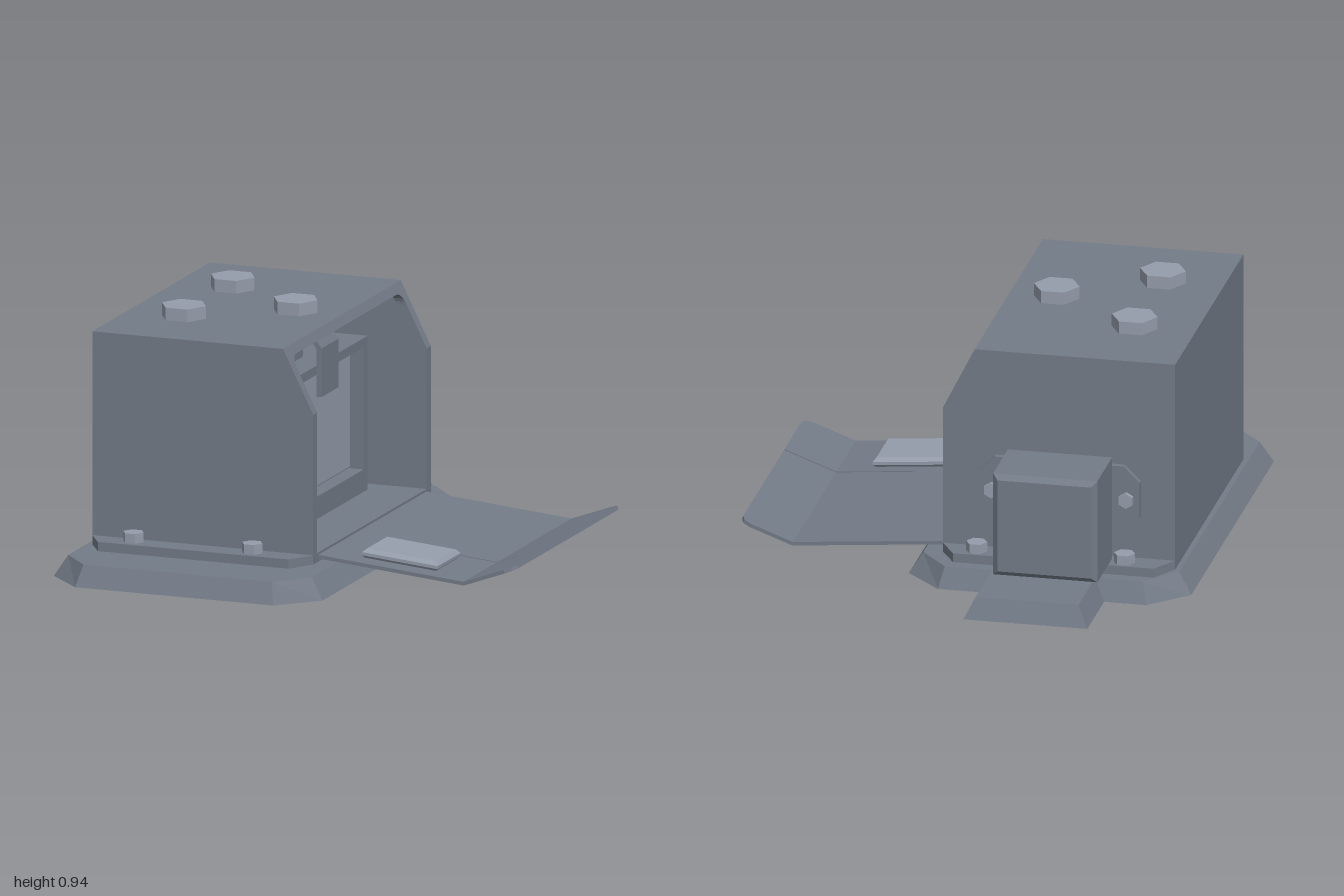
import * as THREE from 'three';

const main = new THREE.MeshStandardMaterial({ color: 0x737b87, flatShading: true });
const light = new THREE.MeshStandardMaterial({ color: 0x959dab, flatShading: true });

export function createModel() {
  const model = new THREE.Group();

  const add = (name, geo, mat = main, parent = model) => {
    const mesh = new THREE.Mesh(geo, mat);
    mesh.name = name;
    parent.add(mesh);
    return mesh;
  };
  const box = (name, x0, x1, y0, y1, z0, z1, mat) =>
    add(name, new THREE.BoxGeometry(x1 - x0, y1 - y0, z1 - z0), mat)
      .position.set((x0 + x1) / 2, (y0 + y1) / 2, (z0 + z1) / 2);
  const poly = (pts) => new THREE.Shape(pts.map(([a, b]) => new THREE.Vector2(a, b)));
  const rect = (a0, a1, b0, b1) => [[a0, b0], [a1, b0], [a1, b1], [a0, b1]];
  const extrude = (shape, depth, opts = {}) =>
    new THREE.ExtrudeGeometry(shape, { depth, bevelEnabled: false, curveSegments: 6, ...opts });
  // plan outline [x, z] raised from y0 by height
  const plan = (pts, y0, height) =>
    extrude(poly(pts.map(([x, z]) => [x, -z])), height).rotateX(-Math.PI / 2).translate(0, y0, 0);
  // side profile [x, y] swept from z0 to z1
  const profile = (pts, z0, z1) => extrude(poly(pts), z1 - z0).translate(0, 0, z0);
  // front-facing outline (z, y) pushed back from x
  const facing = (shape, x, depth) => extrude(shape, depth).rotateY(-Math.PI / 2).translate(x, 0, 0);
  const hexBolt = (name, x, y, z, r, h) =>
    add(name, new THREE.CylinderGeometry(r, r, h, 6).rotateY(Math.PI / 6), light).position.set(x, y + h / 2, z);

  // Base plate: [x, z] on the ground and the matching inset [x, z] on top
  const outline = [
    [-0.87, -0.57, -0.82, -0.55], [-0.73, -0.71, -0.71, -0.68],
    [-0.57, -0.71, -0.53, -0.68], [-0.57, -1.0, -0.53, -0.97],
    [-0.10, -1.0, -0.14, -0.97], [-0.10, -0.71, -0.14, -0.68],
    [0.06, -0.71, 0.04, -0.68], [0.20, -0.57, 0.15, -0.55],
    [0.20, 0.86, 0.15, 0.84], [0.06, 1.0, 0.04, 0.965],
    [-0.73, 1.0, -0.71, 0.965], [-0.87, 0.86, -0.82, 0.84],
  ];
  const base = plan(outline, 0, 0.08);
  const bp = base.attributes.position;
  for (let i = 0; i < bp.count; i++) {
    if (bp.getY(i) < 0.04) continue;
    const o = outline.find(([x, z]) => Math.hypot(x - bp.getX(i), z - bp.getZ(i)) < 1e-3);
    bp.setXYZ(i, o[2], 0.08, o[3]);
  }
  base.computeVertexNormals();
  add('basePlate', base);

  // Mounting flange under the housing, also its floor
  add('mountingFlange', plan([
    [-0.8, -0.53], [-0.74, -0.63], [0.02, -0.63], [0.08, -0.53],
    [0.08, 0.65], [0.02, 0.745], [-0.74, 0.745], [-0.8, 0.65],
  ], 0.08, 0.035));
  for (const [x, z] of [[-0.62, 0.69], [-0.147, 0.69], [-0.62, -0.585], [-0.06, -0.585]])
    hexBolt('flangeBolt', x, 0.115, z, 0.04, 0.037);

  // Housing shell, open at its sloped +x face
  const side = [[-0.8, 0.115], [0.08, 0.115], [0.08, 0.65], [-0.04, 0.89], [-0.8, 0.89]];
  add('frontWall', profile(side, 0.61, 0.65));
  add('rearWall', profile(side, -0.53, -0.488));
  add('roof', profile([[-0.8, 0.855], [-0.0225, 0.855], [-0.04, 0.89], [-0.8, 0.89]], -0.488, 0.61));
  box('backWall', -0.8, -0.76, 0.115, 0.855, -0.488, 0.61);

  // Rounded upper corners of the opening, sheared to follow the slope
  for (const [zc, s] of [[0.61, -1], [-0.488, 1]]) {
    const corner = new THREE.Shape();
    corner.moveTo(zc, 0.855);
    corner.lineTo(zc + s * 0.05, 0.855);
    corner.quadraticCurveTo(zc, 0.855, zc, 0.805);
    const geo = facing(corner, -0.0225, 0.04);
    const p = geo.attributes.position;
    for (let i = 0; i < p.count; i++) p.setX(i, p.getX(i) + (0.855 - p.getY(i)) * 0.5);
    geo.computeVertexNormals();
    add('openingCorner', geo);
  }

  // Roof bolts
  for (const [x, z] of [[-0.57, -0.18], [-0.22, 0.07], [-0.57, 0.31]])
    hexBolt('roofBolt', x, 0.89, z, 0.087, 0.048);

  // Inner unit with a framed, recessed screen
  const frame = poly(rect(-0.40, 0.595, 0.115, 0.70));
  frame.holes.push(poly(rect(-0.36, 0.56, 0.20, 0.665)));
  add('screenFrame', facing(frame, -0.12, 0.06));
  box('innerUnit', -0.76, -0.18, 0.115, 0.70, -0.40, 0.595);
  box('screen', -0.18, -0.17, 0.21, 0.655, -0.35, 0.55, light);

  // Bent latch hooked over the inner unit
  add('latch', profile([
    [-0.08, 0.595], [-0.08, 0.78], [-0.11, 0.825], [-0.24, 0.825], [-0.24, 0.70],
    [-0.22, 0.70], [-0.22, 0.805], [-0.12, 0.805], [-0.10, 0.775], [-0.10, 0.595],
  ], -0.005, 0.165));

  // Folded-down door: a flat panel and an upturned lip, split by a slit
  const door = new THREE.Group();
  door.name = 'door';
  model.add(door);
  const section = (name, x, y, x2, y2) => {
    const g = new THREE.Group();
    g.name = name;
    g.position.set(x, y, 0);
    g.rotation.z = Math.atan2(y2 - y, x2 - x);
    door.add(g);
    return [g, Math.hypot(x2 - x, y2 - y)];
  };
  const [panel, pl] = section('doorPanel', 0.08, 0.092, 0.66, 0.04);
  add('doorSheet', plan([
    [-0.02, -0.485], [pl, -0.485], [pl, 0.26], [0.28, 0.26], [0.28, 0.268], [pl, 0.268], [pl, 0.6], [-0.02, 0.6],
  ], 0, 0.014), main, panel);
  const [lip, ll] = section('doorLip', 0.66, 0.04, 0.86, 0.114);
  add('lipLarge', plan([
    [0, -0.485], [ll - 0.04, -0.485], [ll - 0.012, -0.473], [ll, -0.445], [ll, 0.26], [0, 0.26],
  ], 0, 0.014), main, lip);
  add('lipSmall', plan([
    [0, 0.268], [ll, 0.268], [ll, 0.56], [ll - 0.012, 0.588], [ll - 0.04, 0.6], [0, 0.6],
  ], 0, 0.014), main, lip);

  // Bevelled pad lying on the door
  const bevel = (b) => ({ bevelEnabled: true, bevelSegments: 1, bevelSize: b, bevelThickness: b });
  add('doorPad', extrude(poly(rect(0.16, 0.435, -0.52, -0.32)), 0.012, bevel(0.014))
    .rotateX(-Math.PI / 2).translate(0, 0.024, 0), light, panel);

  // Side box on an octagonal bracket at the rear wall
  add('sideBox', extrude(poly(rect(-0.55, -0.195, 0.14, 0.50)), 0.255, bevel(0.02)).translate(0, 0, -0.825));
  add('boxBracket', profile([
    [-0.67, 0.28], [-0.61, 0.22], [-0.12, 0.22], [-0.06, 0.28],
    [-0.06, 0.42], [-0.12, 0.48], [-0.61, 0.48], [-0.67, 0.42],
  ], -0.552, -0.53));
  for (const x of [-0.62, -0.11])
    add('bracketBolt', new THREE.CylinderGeometry(0.03, 0.03, 0.02, 6).rotateX(Math.PI / 2), light)
      .position.set(x, 0.35, -0.56);

  return model;
}
